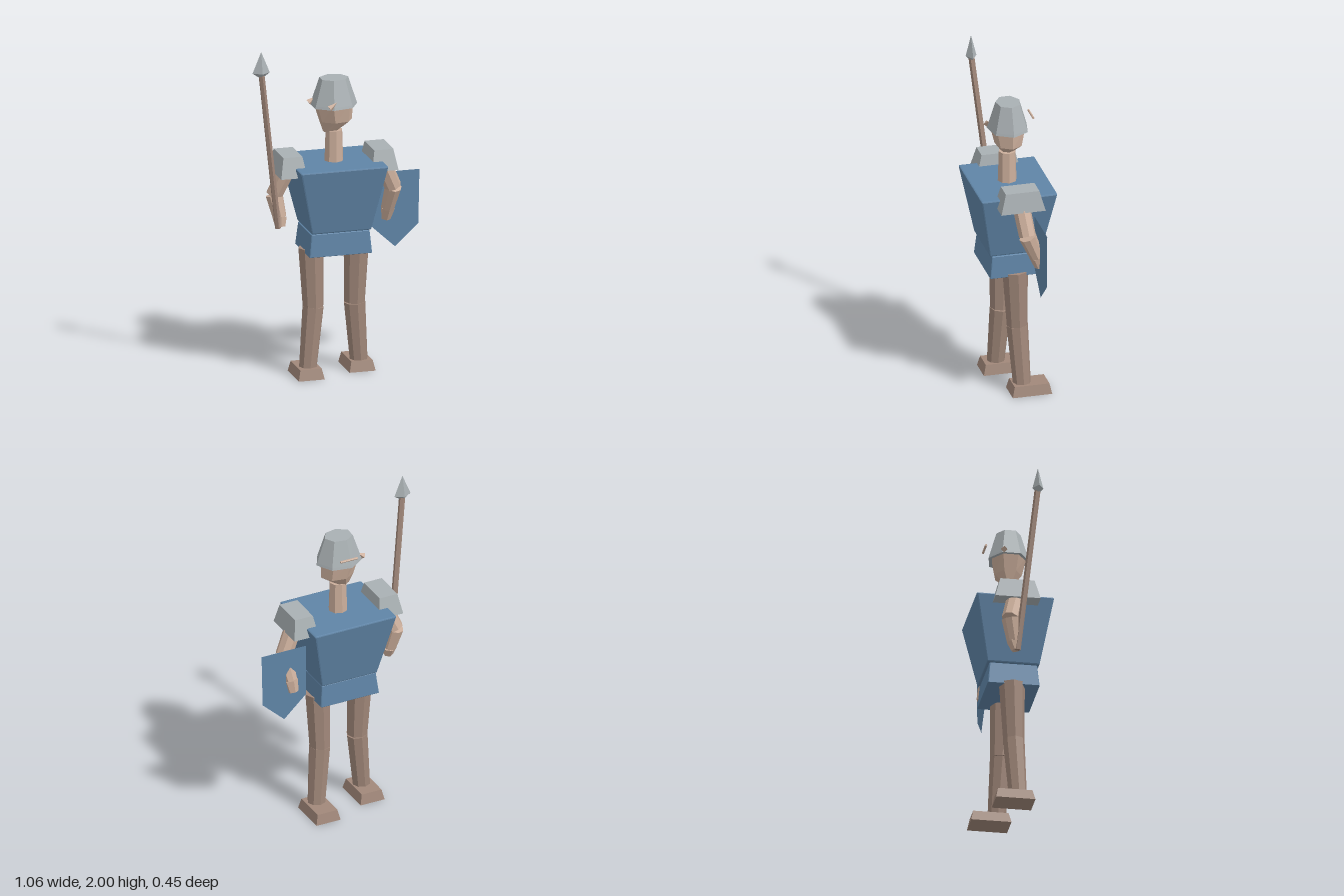
import * as THREE from 'three';
import { RoundedBoxGeometry } from 'three/addons/geometries/RoundedBoxGeometry.js';

const mat = (name, color) => {
  const m = new THREE.MeshStandardMaterial({ color });
  m.name = name;
  return m;
};

export function createModel() {
  const model = new THREE.Group();
  model.name = 'spearSoldier';
  const blue = mat('blue armour', 0x5f84a6);
  const steel = mat('steel', 0xa9b0b3);
  const skin = mat('skin', 0xcbae9b);
  const brown = mat('brown cloth', 0xa1887a);
  const shieldBlue = blue.clone();
  shieldBlue.name = 'blue shield';
  shieldBlue.side = THREE.DoubleSide;

  // Faceted mesh: every face gets its own normal
  function add(name, geometry, material, parent = model) {
    const g = geometry.index ? geometry.toNonIndexed() : geometry;
    g.computeVertexNormals();
    const mesh = new THREE.Mesh(g, material);
    mesh.name = name;
    parent.add(mesh);
    return mesh;
  }

  // Block whose bottom and top are rectangles [x0, x1, z0, z1]
  function block(name, material, y0, y1, bottom, top, round = 0) {
    const g = round ? new RoundedBoxGeometry(1, 1, 1, 1, round) : new THREE.BoxGeometry(1, 1, 1);
    const p = g.attributes.position;
    const mix = THREE.MathUtils.lerp;
    for (let i = 0; i < p.count; i++) {
      const t = p.getY(i) + 0.5;
      const r = bottom.map((b, k) => mix(b, top[k], t));
      p.setXYZ(i, mix(r[0], r[1], p.getX(i) + 0.5), mix(y0, y1, t), mix(r[2], r[3], p.getZ(i) + 0.5));
    }
    return add(name, g, material);
  }

  // Tapered limb between two points
  function limb(name, material, a, b, ra, rb, sides = 8) {
    const from = new THREE.Vector3(...a), to = new THREE.Vector3(...b);
    const dir = to.clone().sub(from);
    const g = new THREE.CylinderGeometry(rb, ra, dir.length(), sides);
    g.applyQuaternion(new THREE.Quaternion().setFromUnitVectors(
      new THREE.Vector3(0, 1, 0), dir.normalize()));
    g.translate(...from.add(to).multiplyScalar(0.5).toArray());
    return add(name, g, material);
  }

  // Closed stack of rings [y, centreX, centreZ, radiusX, radiusZ], bottom to top
  function loft(name, material, rings, sides) {
    const pos = [], index = [];
    for (const [y, cx, cz, rx, rz] of rings) {
      for (let i = 0; i < sides; i++) {
        const a = (i / sides) * Math.PI * 2;
        pos.push(cx + rx * Math.cos(a), y, cz + rz * Math.sin(a));
      }
    }
    for (let r = 0; r < rings.length - 1; r++) {
      for (let i = 0; i < sides; i++) {
        const a = r * sides + i, b = r * sides + (i + 1) % sides;
        index.push(a, a + sides, b, b, a + sides, b + sides);
      }
    }
    const last = (rings.length - 1) * sides;
    for (let i = 1; i < sides - 1; i++) {
      index.push(0, i, i + 1, last, last + i + 1, last + i);
    }
    const g = new THREE.BufferGeometry();
    g.setAttribute('position', new THREE.Float32BufferAttribute(pos, 3));
    g.setIndex(index);
    return add(name, g, material);
  }

  // Torso and hips
  block('torso', blue, 0.89, 1.285, [-0.19, 0.165, -0.15, 0.155], [-0.28, 0.25, -0.228, 0.228], 0.02);
  block('hips', blue, 0.75, 0.885, [-0.205, 0.172, -0.15, 0.155], [-0.19, 0.16, -0.137, 0.142], 0.02);

  // Shoulder pads
  for (const [name, x] of [['rightShoulderPad', -0.29], ['leftShoulderPad', 0.257]]) {
    block(name, steel, 1.23, 1.35,
      [x - 0.079, x + 0.079, -0.132, 0.132], [x - 0.057, x + 0.057, -0.1, 0.1]);
  }

  // Neck, head and helmet
  limb('neck', skin, [-0.016, 1.26, 0.005], [-0.016, 1.47, 0.005], 0.057, 0.05);
  loft('head', skin, [
    [1.46, -0.04, 0, 0.04, 0.035],
    [1.525, -0.005, 0, 0.1, 0.08],
    [1.64, -0.02, 0, 0.12, 0.108],
  ], 7);
  loft('helmet', steel, [
    [1.615, -0.015, 0, 0.14, 0.122],
    [1.63, -0.015, 0, 0.136, 0.118],
    [1.78, -0.015, 0, 0.086, 0.073],
  ], 7);

  // Ears poking out under the helmet, and the thin bar behind it
  for (const [name, x, z] of [['frontEar', -0.05, 0.112], ['sideEar', -0.132, -0.045]]) {
    const ear = add(name, new THREE.ConeGeometry(0.02, 0.055, 4), skin);
    ear.position.set(x, 1.645, z);
    ear.rotation.z = -0.9;
  }
  limb('helmetBar', skin, [-0.07, 1.685, -0.137], [0.04, 1.685, -0.137], 0.007, 0.007, 6);

  // Legs: hip, knee and ankle centres, then the foot's z range
  const legs = [
    ['right', [-0.152, 0.77, 0], [-0.143, 0.415, 0.012], [-0.18, 0.05, 0.03], -0.11, 0.12],
    ['left', [0.122, 0.77, -0.006], [0.116, 0.415, -0.02], [0.147, 0.05, -0.04], -0.2, 0.035],
  ];
  for (const [side, hip, knee, ankle, z0, z1] of legs) {
    limb(side + 'Thigh', brown, knee, hip, 0.062, 0.076);
    limb(side + 'Shin', brown, ankle, knee, 0.053, 0.064);
    const x = ankle[0] - (side === 'right' ? 0.002 : -0.002);
    block(side + 'Foot', brown, 0, 0.062,
      [x - 0.078, x + 0.078, z0, z1], [x - 0.064, x + 0.064, z0 + 0.013, z1 - 0.015]);
  }

  // Arms: shoulder, elbow, wrist and fingertip centres
  const arms = [
    ['right', [-0.29, 1.26, 0], [-0.36, 1.09, -0.045], [-0.335, 0.96, -0.02], [-0.335, 0.905, -0.005]],
    ['left', [0.27, 1.26, 0], [0.348, 1.085, -0.02], [0.332, 0.945, -0.078], [0.325, 0.875, -0.098]],
  ];
  for (const [side, shoulder, elbow, wrist, tip] of arms) {
    limb(side + 'UpperArm', skin, elbow, shoulder, 0.05, 0.052);
    limb(side + 'Forearm', skin, wrist, elbow, 0.041, 0.051);
    limb(side + 'Hand', skin, tip, wrist, 0.03, 0.043, 6);
  }

  // Shield: a thin five-sided plate
  const outline = new THREE.Shape([
    [0.24, 1.155], [0.24, 0.83], [0.38, 0.7], [0.52, 0.83], [0.527, 1.155],
  ].map(([x, y]) => new THREE.Vector2(x, y)));
  add('shield', new THREE.ShapeGeometry(outline), shieldBlue).position.z = -0.09;

  // Spear shaft and diamond-shaped point
  limb('spearShaft', brown, [-0.35, 0.9, 0], [-0.478, 1.87, 0.096], 0.018, 0.018, 6);
  loft('spearPoint', steel, [
    [1.85, -0.48, 0.097, 0.015, 0.01],
    [1.875, -0.48, 0.097, 0.052, 0.032],
    [2, -0.48, 0.097, 0.001, 0.001],
  ], 4);

  return model;
}
